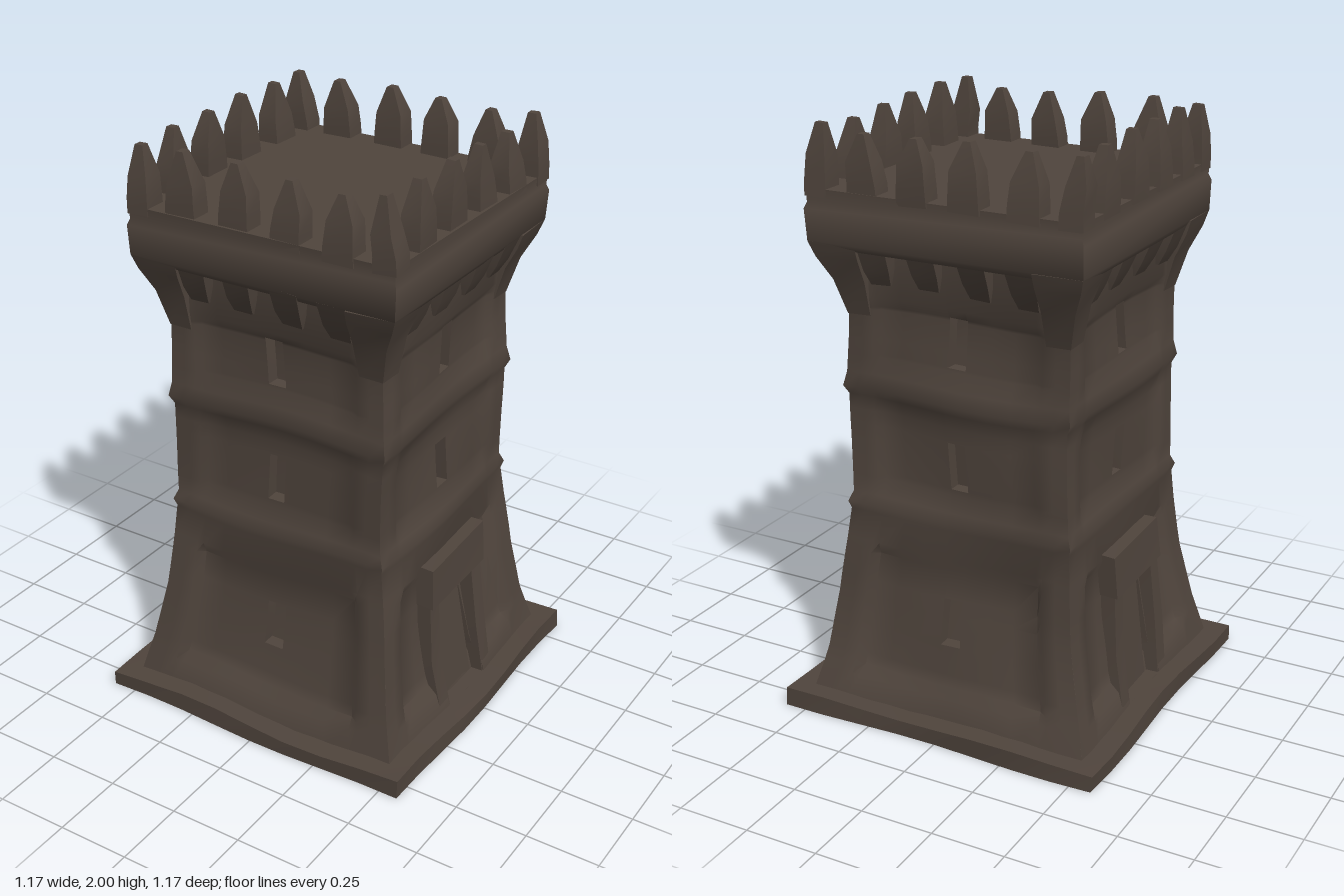
import * as THREE from 'three';
import { toCreasedNormals } from 'three/addons/utils/BufferGeometryUtils.js';

const stone = new THREE.MeshStandardMaterial({ color: 0x50453d });
stone.name = 'darkStone';

// Small seeded random for hand-hewn variety
let seed = 7;
const rnd = (a) => {
  seed = (seed * 16807) % 2147483647;
  return (seed / 2147483647 - 0.5) * 2 * a;
};

// Gentle wobble by position, so touching parts bend together
function weather(geo, amount = 0.006) {
  const p = geo.attributes.position;
  for (let i = 0; i < p.count; i++) {
    const x = p.getX(i), y = p.getY(i), z = p.getZ(i);
    p.setXYZ(i,
      x + amount * Math.sin(9 * y + 7 * z + 1),
      y + (y > 0.02 ? amount * Math.sin(8 * x - 6 * z + 3 * y) : 0),
      z + amount * Math.sin(8 * y - 7 * x + 2));
  }
  return geo;
}

function part(group, name, geo, crease = 0.6) {
  const flat = geo.index ? geo.toNonIndexed() : geo;
  flat.deleteAttribute('normal');
  flat.computeVertexNormals();
  const mesh = new THREE.Mesh(toCreasedNormals(flat, crease), stone);
  mesh.name = name;
  group.add(mesh);
}

function quads(list) {
  const pos = [];
  for (const [a, b, c, d] of list) for (const v of [a, b, c, a, c, d]) pos.push(...v);
  const geo = new THREE.BufferGeometry();
  geo.setAttribute('position', new THREE.Float32BufferAttribute(pos, 3));
  return geo;
}

// Solid lofted through rectangles [y, x0, x1, z0, z1]
function loft(rows) {
  const rings = rows.map(([y, x0, x1, z0, z1]) => [[x0, y, z1], [x1, y, z1], [x1, y, z0], [x0, y, z0]]);
  const list = [];
  for (let i = 0; i < rings.length - 1; i++)
    for (let k = 0; k < 4; k++) {
      const n = (k + 1) % 4;
      list.push([rings[i][k], rings[i][n], rings[i + 1][n], rings[i + 1][k]]);
    }
  list.push([...rings[0]].reverse(), rings[rings.length - 1]);
  return quads(list);
}
const square = (y, h) => [y, -h, h, -h, h];

// Tower silhouette: [height, half width]
const profile = [[0.04, 0.51], [0.2, 0.47], [0.4, 0.435], [0.6, 0.412], [0.7, 0.402], [0.725, 0.41],
  [0.76, 0.396], [0.95, 0.395], [1.1, 0.396], [1.13, 0.41], [1.18, 0.4], [1.3, 0.395], [1.4, 0.393],
  [1.44, 0.4], [1.65, 0.4]];
function halfAt(y) {
  let i = 1;
  while (i < profile.length - 1 && y > profile[i][0]) i++;
  const [y0, h0] = profile[i - 1], [y1, h1] = profile[i];
  return h0 + (h1 - h0) * (y - y0) / (y1 - y0);
}

// One battered wall facing +z, with sunken panels and recessed openings
function wall(openings) {
  const sorted = (a) => [...new Set(a)].sort((p, q) => p - q);
  const us = sorted([-1, -0.87, -0.76, -0.7, -0.5, -0.3, 0.3, 0.5, 0.7, 0.76, 0.87, 1,
    ...openings.flatMap((o) => [o.u0, o.u1])]);
  const ys = sorted([...profile.map((r) => r[0]), 0.13, 0.16, 0.56, 0.82, 1.05, 1.24,
    ...openings.flatMap((o) => [o.y0, o.y1])]);
  const point = (i, j, depth) => {
    const u = us[i], y = ys[j], h = halfAt(y);
    const inside = Math.abs(u) < 0.73;
    let dent = 0;
    if (inside && y > 0.15 && y < 0.58) dent = 0.022;
    else if (inside && ((y > 0.8 && y < 1.08) || (y > 1.2 && y < 1.42))) dent = 0.012;
    return [u * h, y, h - dent - depth];
  };
  const open = (i, j) => {
    const u = (us[i] + us[i + 1]) / 2, y = (ys[j] + ys[j + 1]) / 2;
    return openings.some((o) => u > o.u0 && u < o.u1 && y > o.y0 && y < o.y1);
  };
  const list = [];
  for (let i = 0; i < us.length - 1; i++)
    for (let j = 0; j < ys.length - 1; j++) {
      const ring = (d) => [point(i, j, d), point(i + 1, j, d), point(i + 1, j + 1, d), point(i, j + 1, d)];
      const outer = ring(0);
      if (!open(i, j)) { list.push(outer); continue; }
      const inner = ring(0.045);
      list.push(inner);
      [[0, -1], [1, 0], [0, 1], [-1, 0]].forEach(([di, dj], k) => {
        const n = (k + 1) % 4;
        if (!open(i + di, j + dj)) list.push([outer[k], outer[n], inner[n], inner[k]]);
      });
    }
  return quads(list);
}

// Pointed battlement tooth centred on (x, z)
function merlon(x, z, w, d) {
  const lean = rnd(0.012), top = 1.985 + rnd(0.012), belly = 1.89 + rnd(0.015);
  return loft([
    [1.77, x - w, x + w, z - d, z + d],
    [1.82, x - w * 0.95, x + w * 0.95, z - d, z + d],
    [belly, x - w * 0.85 + lean, x + w * 0.85 + lean, z - d * 0.9, z + d * 0.9],
    [top, x - 0.012 + lean, x + 0.012 + lean, z - 0.015, z + 0.015],
  ]);
}

export function createModel() {
  const tower = new THREE.Group();
  tower.name = 'tower';

  // Thin uneven foundation slab
  const slab = new THREE.BoxGeometry(1.15, 0.06, 1.15, 8, 1, 8).translate(0, 0.03, 0);
  part(tower, 'foundationSlab', weather(slab, 0.008));

  const slits = [[0.84, 1.0], [1.25, 1.41]].map(([y0, y1]) => ({ u0: -0.08, u1: 0.08, y0, y1 }));
  const lowSlit = { u0: -0.09, u1: 0.07, y0: 0.3, y1: 0.46 };
  const doorway = { u0: -0.24, u1: 0.24, y0: 0.06, y1: 0.47 };
  const names = ['front', 'left', 'back', 'right'];

  names.forEach((name, k) => {
    const side = new THREE.Group();
    side.name = name + 'Side';
    tower.add(side);
    const add = (label, geo, crease, amount) =>
      part(side, label, weather(geo.rotateY(k * Math.PI / 2), amount), crease);
    const hasDoor = k % 2 === 1;

    add('wall', wall([...slits, hasDoor ? doorway : lowSlit]), 0.75);

    // Door surround: two jambs, a lintel and a plank door
    if (hasDoor) {
      for (const s of [-1, 1]) {
        const a = s * 0.115, b = s * 0.175, x0 = Math.min(a, b), x1 = Math.max(a, b);
        add('doorJamb', loft([[0.04, x0, x1, 0.38, 0.505], [0.25, x0, x1, 0.38, 0.475], [0.48, x0, x1, 0.36, 0.455]]));
      }
      add('doorLintel', loft([[0.475, -0.18, 0.18, 0.36, 0.468], [0.62, -0.18, 0.18, 0.36, 0.457]]));
      add('door', loft([[0.05, -0.1, 0.1, 0.38, 0.462], [0.46, -0.095, 0.095, 0.36, 0.405]]));
    }

    // Corbels under the gallery
    for (const x of [-0.26, -0.09, 0.09, 0.26])
      add('corbel', loft([
        [1.49, x - 0.035, x + 0.035, 0.36, 0.408],
        [1.54, x - 0.045, x + 0.045, 0.36, 0.435],
        [1.63, x - 0.05, x + 0.05, 0.36, 0.47],
      ]), 0.9);

    // Flared corner bracket
    add('cornerBracket', loft([
      [1.38, 0.31, 0.395, 0.31, 0.395],
      [1.5, 0.31, 0.425, 0.31, 0.425],
      [1.58, 0.31, 0.462, 0.31, 0.462],
      [1.63, 0.31, 0.478, 0.31, 0.478],
    ]), 0.9);

    // Battlements: one corner tooth and four along the edge
    add('cornerMerlon', merlon(0.44, 0.44, 0.04, 0.038));
    for (const x of [-0.28, -0.095, 0.095, 0.28])
      add('merlon', merlon(x + rnd(0.008), 0.44, 0.054, 0.036), 0.8);
  });

  // Overhanging gallery with its roof deck
  part(tower, 'gallery', weather(loft([
    square(1.61, 0.465), square(1.63, 0.478), square(1.73, 0.482), square(1.75, 0.474), square(1.795, 0.476),
  ]), 0.005));

  return tower;
}
